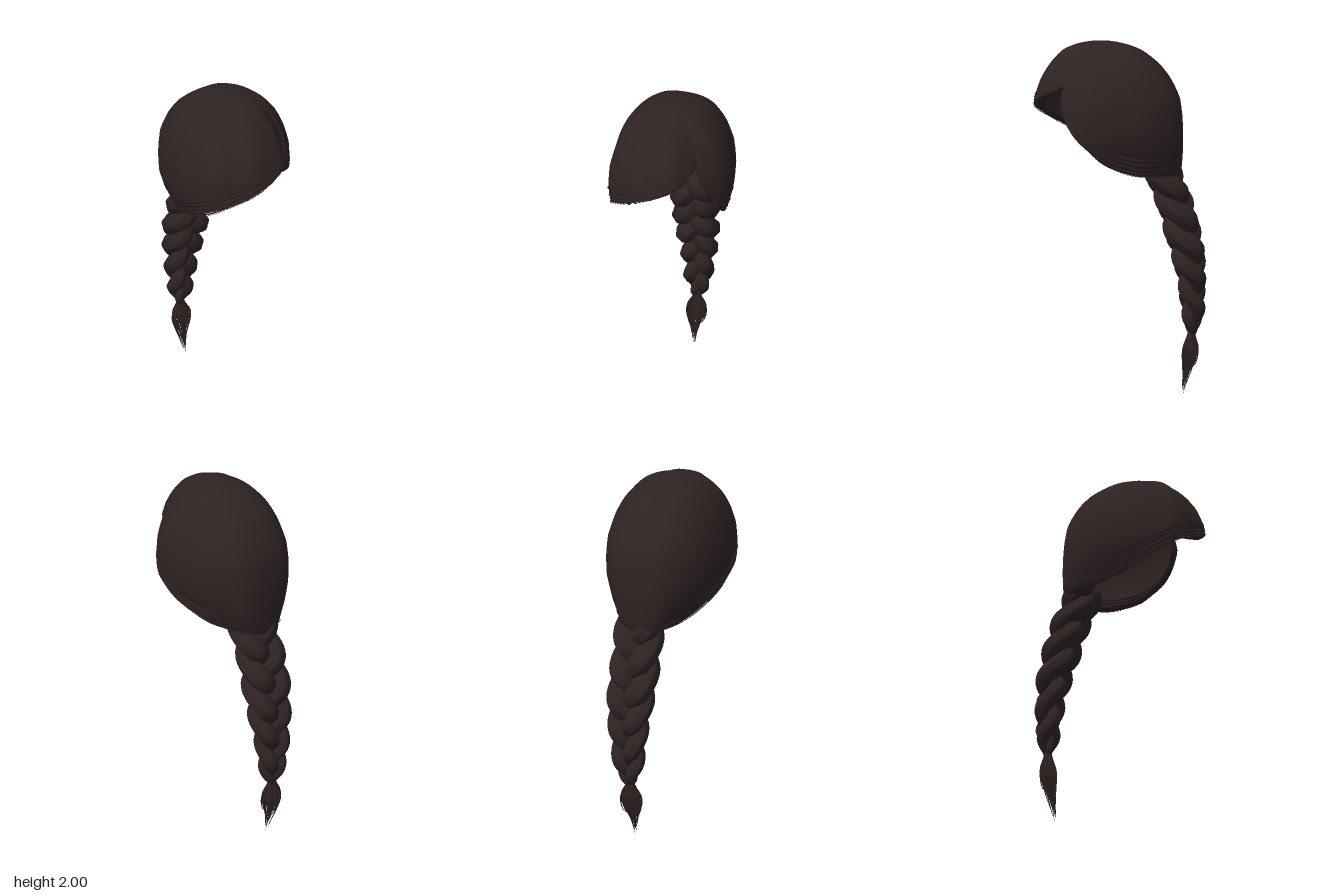
import * as THREE from 'three';

const V = (x, y, z) => new THREE.Vector3(x, y, z);
const lerp = THREE.MathUtils.lerp;
const hair = new THREE.MeshStandardMaterial({ color: 0x2e2322, side: THREE.DoubleSide });
hair.name = 'dark brown hair';

// Plan outline of the cap with the height of its lower edge: x, z, edge y.
// Starts at the nape and runs round the left side, the parting, the fringe and the right side.
const RIM = new THREE.CatmullRomCurve3([
  [0, -.33, 1.27], [.15, -.3, 1.28], [.24, -.2, 1.3], [.285, -.1, 1.31], [.305, 0, 1.34],
  [.315, .1, 1.39], [.31, .18, 1.46], [.285, .25, 1.53], [.25, .29, 1.6], [.215, .325, 1.7],
  [.195, .325, 1.775], [.165, .37, 1.755], [.1, .45, 1.71], [0, .475, 1.665], [-.1, .475, 1.63],
  [-.19, .41, 1.57], [-.28, .33, 1.51], [-.305, .2, 1.43], [-.315, .1, 1.375], [-.305, 0, 1.335],
  [-.285, -.1, 1.31], [-.24, -.2, 1.29], [-.15, -.3, 1.28],
].map(([x, z, y]) => V(x, y, z)), true);
const COUNT = RIM.points.length;

// Level sections of the cap: y, half width, front z, back z
const LEVELS = [
  [2, 0, .12, .12], [1.985, .09, .23, 0], [1.95, .17, .315, -.1], [1.87, .242, .39, -.205],
  [1.8, .275, .435, -.26], [1.7, .305, .472, -.31], [1.6, .315, .48, -.325],
  [1.5, .31, .465, -.33], [1.4, .275, .43, -.33], [1.26, .2, .37, -.32],
];
const depth = y => Math.sqrt(Math.max(0, 2 - y));

// Point on the cap at outline position u and height y
function onCap(u, y, grow = 1) {
  let i = 0;
  while (i < LEVELS.length - 2 && LEVELS[i + 1][0] > y) i++;
  const a = LEVELS[i], b = LEVELS[i + 1];
  const k = (depth(y) - depth(a[0])) / (depth(b[0]) - depth(a[0]));
  const [w, zf, zb] = [1, 2, 3].map(n => lerp(a[n], b[n], k));
  const p = RIM.getPoint(((u % 1) + 1) % 1), c = .11;
  const z = p.z > c ? c + (p.z - c) / (.478 - c) * (zf - c) : c + (p.z - c) / (-.33 - c) * (zb - c);
  return V(p.x / .315 * w * grow, y, c + (z - c) * grow);
}
const edge = u => RIM.getPoint(((u % 1) + 1) % 1).y;

// Cap shell from crown to edge, with a lip curling inward
function capGeometry() {
  const around = COUNT * 6, down = 26, pos = [], idx = [];
  for (let j = 0; j <= down + 2; j++) {
    for (let i = 0; i <= around; i++) {
      const u = i / around, e = edge(u);
      const s = Math.min(1, j / down) * depth(e);
      let p = onCap(u, 2 - s * s);
      if (j === down + 1) p = onCap(u, e, .96).setY(e - .008);
      if (j === down + 2) p = onCap(u, e, .86).setY(e + .006);
      pos.push(p.x, p.y, p.z);
    }
  }
  const row = around + 1;
  for (let j = 0; j < down + 2; j++) {
    for (let i = 0; i < around; i++) {
      const a = j * row + i, b = a + row;
      idx.push(a, b, a + 1, b, b + 1, a + 1);
    }
  }
  const g = new THREE.BufferGeometry();
  g.setAttribute('position', new THREE.Float32BufferAttribute(pos, 3));
  g.setIndex(idx);
  g.computeVertexNormals();
  // Crown corners share one upward normal
  for (let i = 0; i < row; i++) g.attributes.normal.setXYZ(i, 0, 1, 0);
  return orientOut(g, row * 10);
}

// Turn the faces round if they point at the inside of the cap
function orientOut(g, v) {
  const p = g.attributes.position, n = g.attributes.normal;
  const dot = p.getX(v) * n.getX(v) + (p.getZ(v) - .11) * n.getZ(v);
  if (dot < 0) {
    g.index.array.reverse();
    g.computeVertexNormals();
    for (let i = 0; i < COUNT * 6 + 1; i++) n.setXYZ(i, 0, 1, 0);
  }
  return g;
}

// Tube whose radius follows a rule of length t and angle a
function lock(points, radius, segs = 16, sides = 6) {
  const path = new THREE.CatmullRomCurve3(points);
  const g = new THREE.TubeGeometry(path, segs, 1, sides);
  const p = g.attributes.position, v = V(0, 0, 0);
  for (let i = 0; i <= segs; i++) {
    const c = path.getPointAt(i / segs);
    for (let j = 0; j <= sides; j++) {
      const n = i * (sides + 1) + j;
      v.fromBufferAttribute(p, n).sub(c).multiplyScalar(radius(i / segs, j / sides * Math.PI * 2)).add(c);
      p.setXYZ(n, v.x, v.y, v.z);
    }
  }
  g.computeVertexNormals();
  return g;
}
const taper = r => t => r * (.12 + .88 * Math.sin(Math.PI * t));

// Lock lying on the cap between two outline positions, lifted above the edge
function sweptLock(from, to, liftA, liftB, r, grow) {
  const pts = [];
  for (let i = 0; i <= 14; i++) {
    const u = lerp(from, to, i / 14) / COUNT;
    pts.push(onCap(u, edge(u) + lerp(liftA, liftB, i / 14), grow));
  }
  return lock(pts, taper(r), 30, 5);
}

// Centre line of the braid
const CORE = new THREE.CatmullRomCurve3([
  V(.02, 1.37, -.2), V(.025, 1.25, -.235), V(.02, 1.1, -.295), V(.02, .95, -.335),
  V(.025, .8, -.37), V(.02, .6, -.39), V(.02, .45, -.395), V(.012, .37, -.392),
]);

function braidStrand(k) {
  const size = t => (1 - .38 * THREE.MathUtils.smoothstep(t, .4, .95)) * Math.sqrt(Math.min(1, (1.004 - t) / .12));
  const pts = [];
  for (let i = 0; i <= 60; i++) {
    const t = i / 60, phi = (t * 2 + k / 3) * Math.PI * 2, s = size(t);
    pts.push(CORE.getPointAt(t).add(V(.075 * s * Math.sin(phi), 0, .042 * s * Math.sin(2 * phi))));
  }
  const r = (t, a) => (.01 + .05 * size(t)) * (1 + .05 * Math.cos(a * 7)) * Math.min(1, .5 + t * 12);
  return lock(pts, r, 110, 28);
}

export function createModel() {
  const root = new THREE.Group();
  root.name = 'braidedHair';
  const add = (parent, name, geometry) => {
    const m = new THREE.Mesh(geometry, hair);
    m.name = name;
    parent.add(m);
  };
  const group = name => {
    const g = new THREE.Group();
    g.name = name;
    root.add(g);
    return g;
  };

  add(root, 'hairCap', capGeometry());

  // Fringe locks sweep from the parting to the right side, side locks run down the left
  const fringe = group('fringe'), sides = group('sideLocks');
  for (let i = 0; i < 4; i++) {
    add(fringe, 'fringeLock', sweptLock(10.2 + i * .2, 20 + i * .5, .005 + i * .012, .01 + i * .035, .009, .992));
    add(sides, 'leftLock', sweptLock(9.6 - i * .4, 1, .005 + i * .015, .01 + i * .03, .009, .992));
  }

  // Fine stray hairs along the lower edge
  const strays = group('strayHairs');
  for (let i = 0; i < 6; i++) {
    add(strays, 'rightStray', sweptLock(13 + i * .6, 20 + i * .5, -.004 * i, -.012 + .004 * i, .002, 1.005 + i * .003));
    add(strays, 'leftStray', sweptLock(6.5 - i * .5, .4, -.003 * i, -.01 + .004 * i, .002, 1.003 + i * .002));
  }

  // Locks gathered from the nape into the braid
  const nape = group('nape');
  for (const side of [-1, 1]) {
    for (let i = 0; i < 5; i++) {
      const u = side * (.5 + i * .45) / COUNT;
      const start = onCap(u, edge(u) + .06, .97), mid = onCap(u * .7, edge(u) + .012, .93);
      add(nape, 'napeLock', lock([start, mid, V(.02 + side * .05, 1.26, -.25)], taper(.024), 14, 7));
    }
  }

  // Three-strand braid
  const braid = group('braid');
  for (let k = 0; k < 3; k++) add(braid, 'braidStrand', braidStrand(k));

  // Loose tail below the pinch
  const tail = group('tail');
  for (let i = 0; i < 44; i++) {
    const a = i * 2.4, q = Math.sqrt((i + 1) / 44), end = .02 + .2 * ((i * 7) % 11) / 11 * q;
    const x = Math.cos(a) * q, z = Math.sin(a) * q;
    add(tail, 'tailLock', lock([
      V(.014 + x * .012, .41, -.392 + z * .012),
      V(.014 + x * .022, .355, -.39 + z * .018),
      V(.014 + x * .065, .27, -.387 + z * .045),
      V(.01 + x * .045, .17, -.375 + z * .035),
      V(.012 + x * .012, i ? end : 0, -.345 - end * .1 + z * .012),
    ], t => .0085 * (1 - t * .92), 12, 5));
  }
  return root;
}
